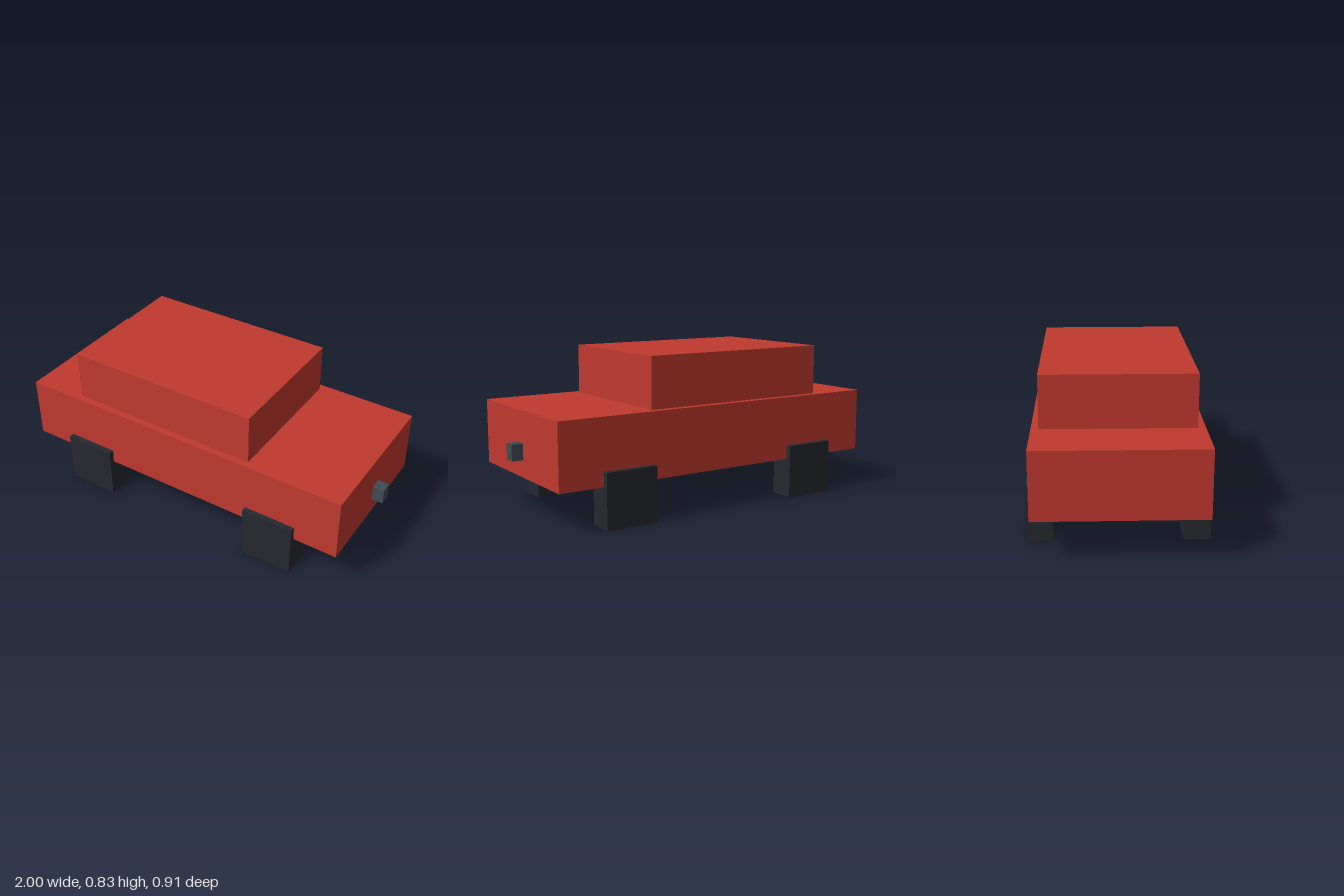
import * as THREE from 'three';

const paint = new THREE.MeshStandardMaterial({ color: 0xc0392f });
const rubber = new THREE.MeshStandardMaterial({ color: 0x25282f });
const steel = new THREE.MeshStandardMaterial({ color: 0x414b55 });

// Box given by its minimum and maximum along each axis
function block(name, material, [x0, x1], [y0, y1], [z0, z1]) {
  const mesh = new THREE.Mesh(new THREE.BoxGeometry(x1 - x0, y1 - y0, z1 - z0), material);
  mesh.position.set((x0 + x1) / 2, (y0 + y1) / 2, (z0 + z1) / 2);
  mesh.name = name;
  return mesh;
}

export function createModel() {
  const car = new THREE.Group();
  car.name = 'blockCar';

  // Lower body and cabin
  car.add(block('body', paint, [-1, 0.938], [0.215, 0.563], [-0.427, 0.427]));
  car.add(block('cabin', paint, [-0.69, 0.395], [0.563, 0.835], [-0.388, 0.388]));

  // Small coupler on the +x end
  car.add(block('coupler', steel, [0.938, 1], [0.307, 0.393], [-0.031, 0.031]));

  // Four square wheels, partly sunk into the body
  for (const [end, x] of [['rear', -0.612], ['front', 0.551]]) {
    for (const [side, z] of [['Right', 0.3895], ['Left', -0.3895]]) {
      car.add(block(`${end}${side}Wheel`, rubber,
        [x - 0.145, x + 0.145], [0, 0.292], [z - 0.0675, z + 0.0675]));
    }
  }
  return car;
}
